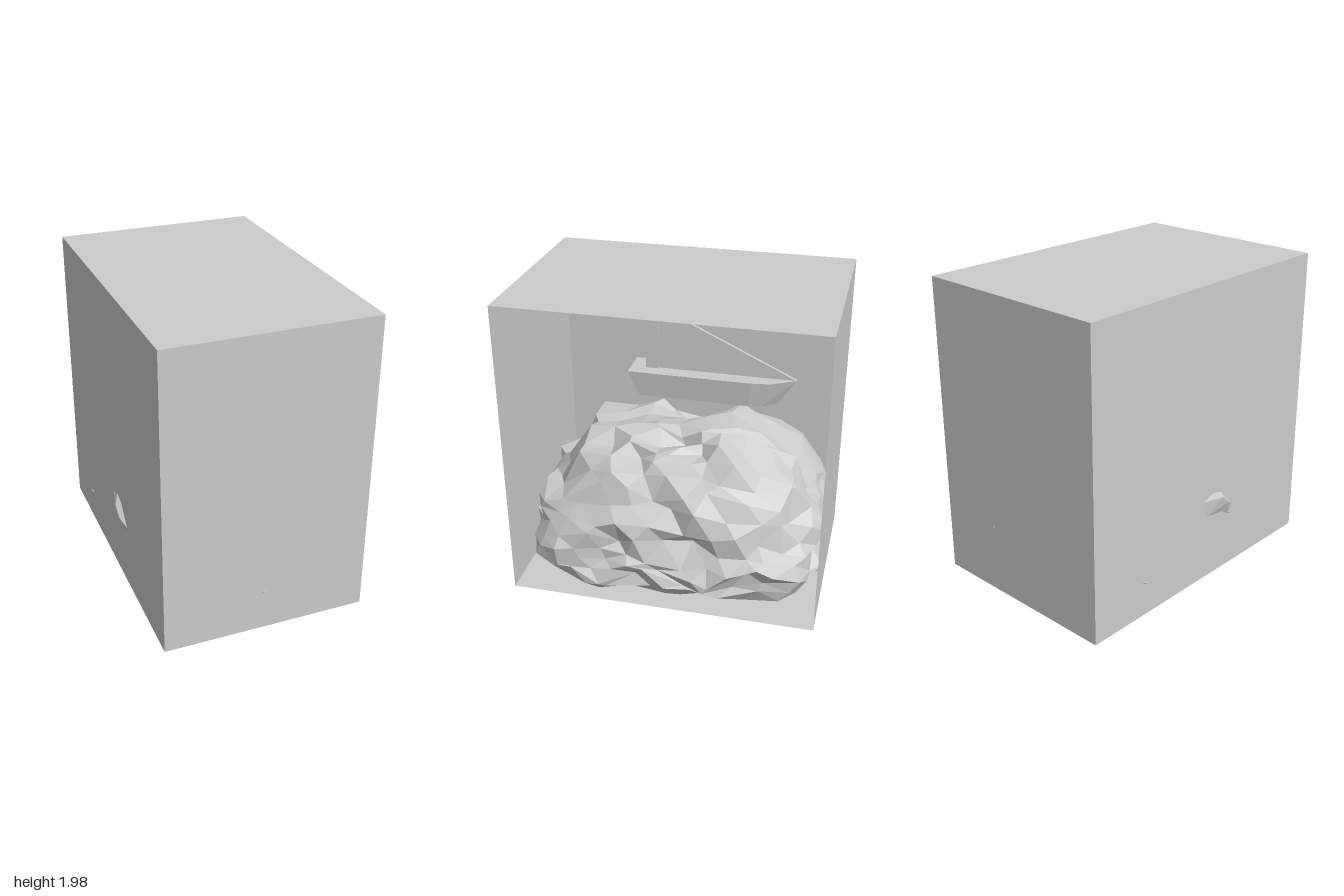
import * as THREE from 'three';

const grey = (opts = {}) => new THREE.MeshStandardMaterial({ color: 0xcccccc, flatShading: true, ...opts });

function addMesh(parent, name, geometry, material = grey({ side: THREE.DoubleSide })) {
  const mesh = new THREE.Mesh(geometry, material);
  mesh.name = name;
  parent.add(mesh);
  return mesh;
}

// Repeatable value in -1..1 from a position, so that shared corners stay joined
function hash(x, y, z, k) {
  const s = Math.sin(Math.round(x * 500) * 12.99 + Math.round(y * 500) * 78.23 + Math.round(z * 500) * 37.72 + k * 19.7) * 437.585;
  return (s - Math.floor(s)) * 2 - 1;
}

// Ridge line of the rock: [z, height]
const ridge = [[-1, 0.62], [-0.88, 0.78], [-0.72, 0.95], [-0.5, 0.98], [-0.25, 1.0], [0.08, 0.94], [0.22, 1.02], [0.45, 0.98], [0.6, 0.98], [0.7, 0.78], [0.92, 0.72], [1, 0.6]];
function ridgeHeight(z) {
  for (let i = 1; i < ridge.length; i++) {
    const [z0, h0] = ridge[i - 1], [z1, h1] = ridge[i];
    if (z <= z1) return h0 + (h1 - h0) * Math.max(0, (z - z0) / (z1 - z0));
  }
  return 0.6;
}

// Outcrops that pull nearby surface towards them: [x, y, z, reach]
const outcrops = [
  [-0.76, 0.6, 0.2, 0.17], [-0.68, 0.86, -0.2, 0.16], [-0.68, 0.3, -0.52, 0.13],
  [0.72, 0.73, 0.72, 0.16], [0.74, 0.18, -0.25, 0.17], [0.7, 0.2, 0.75, 0.12], [0.66, 0.12, 0.42, 0.14],
  [-0.5, 0.2, 0.985, 0.12], [-0.03, 0.34, 0.985, 0.17], [0.29, 0.57, -1, 0.13],
  [0.3, 0.01, -0.35, 0.25], [0.1, 1.12, 0.2, 0.12], [0.1, 1.1, 0.58, 0.12],
  [0.1, 1.09, -0.2, 0.14], [0.05, 1.04, -0.42, 0.12], [0.3, 0.98, -0.72, 0.14],
];

// Craggy boulder: a rounded block with folds, jitter and outcrops
function rockGeometry() {
  const geo = new THREE.IcosahedronGeometry(1, 6);
  const pos = geo.attributes.position;
  const p = new THREE.Vector3(), b = new THREE.Vector3();
  for (let i = 0; i < pos.count; i++) {
    p.fromBufferAttribute(pos, i).normalize();
    const [dx, dy, dz] = [p.x, p.y, p.z];
    const n = dy > 0 ? 3 : 4.5;
    const r = (Math.abs(dx) ** n + Math.abs(dy) ** n + Math.abs(dz) ** n) ** (-1 / n);
    const z = dz * r * 0.94;
    const y = dy > 0 ? 0.38 + dy * r * (ridgeHeight(z) - 0.36) : 0.38 + dy * r * 0.32;
    // Upper slope leans back on the open side
    const lean = Math.max(0, y - 0.3) * 0.22 * Math.max(0, dx);
    p.set(dx * r * 0.62 - lean, y, z);
    const fold = Math.sin(p.z * 9 + p.y * 5) * Math.sin(p.y * 9 - p.x * 6 + 1) * Math.cos(p.x * 7 + p.z * 4);
    const push = 0.07 * fold;
    const j = dy < -0.5 ? 0.02 : 0.042;
    p.x += dx * push + j * hash(dx, dy, dz, 1);
    p.y += dy * push * (dy < 0 ? 0.2 : 1) + j * hash(dx, dy, dz, 2);
    p.z += dz * push + j * hash(dx, dy, dz, 3);
    p.x = THREE.MathUtils.clamp(p.x, -0.625, 0.65);
    p.z = THREE.MathUtils.clamp(p.z, -0.965, 0.965);
    p.y = Math.max(p.y, 0.045);
    for (const [bx, by, bz, reach] of outcrops) {
      b.set(bx, by, bz);
      p.lerp(b, 0.85 * Math.exp(-p.distanceToSquared(b) / (reach * reach)));
    }
    pos.setXYZ(i, p.x, p.y, p.z);
  }
  geo.computeVertexNormals();
  return geo;
}

// Hull: a rail outline and a smaller keel outline, joined and capped
function hullGeometry() {
  const outline = (w, stern, shoulder, bow) => [
    [w, stern], [w, shoulder], [w * 0.85, shoulder + (bow - shoulder) * 0.45], [0.01, bow],
    [-0.01, bow], [-w * 0.85, shoulder + (bow - shoulder) * 0.45], [-w, shoulder], [-w, stern],
  ];
  const rail = outline(0.11, 0.33, -0.44, -0.71), keel = outline(0.09, 0.26, -0.43, -0.6);
  const n = rail.length, v = [], index = [];
  rail.forEach(([x, z]) => v.push(x, 1.42, z));
  keel.forEach(([x, z]) => v.push(x, 1.255, z));
  for (let i = 0; i < n; i++) {
    const k = (i + 1) % n;
    index.push(i, n + i, k, k, n + i, n + k);
    if (i > 0 && i < n - 1) index.push(0, i, i + 1, n, n + i + 1, n + i);
  }
  const geo = new THREE.BufferGeometry();
  geo.setAttribute('position', new THREE.Float32BufferAttribute(v, 3));
  geo.setIndex(index);
  geo.computeVertexNormals();
  return geo;
}

export function createModel() {
  const model = new THREE.Group();
  model.name = 'boatAndRockBox';

  // Case: a box without its left side
  const shell = new THREE.BoxGeometry(1.295, 1.94, 1.94);
  shell.setIndex(Array.from(shell.index.array).slice(6));
  shell.clearGroups();
  addMesh(model, 'openCase', shell).position.set(0.007, 1.03, 0);

  addMesh(model, 'rock', rockGeometry());

  // Boat floating above the rock
  const boat = new THREE.Group();
  boat.name = 'boat';
  model.add(boat);
  addMesh(boat, 'hull', hullGeometry());
  addMesh(boat, 'mast', new THREE.BoxGeometry(0.05, 0.41, 0.078)).position.set(0, 1.62, 0.195);
  const sailShape = new THREE.Shape([[-0.156, 1.42], [0.71, 1.42], [-0.156, 1.825]].map(([a, y]) => new THREE.Vector2(a, y)));
  const sail = new THREE.ExtrudeGeometry(sailShape, { depth: 0.02, bevelEnabled: false });
  sail.translate(0, 0, -0.01).rotateY(Math.PI / 2);
  addMesh(boat, 'sail', sail);

  return model;
}
